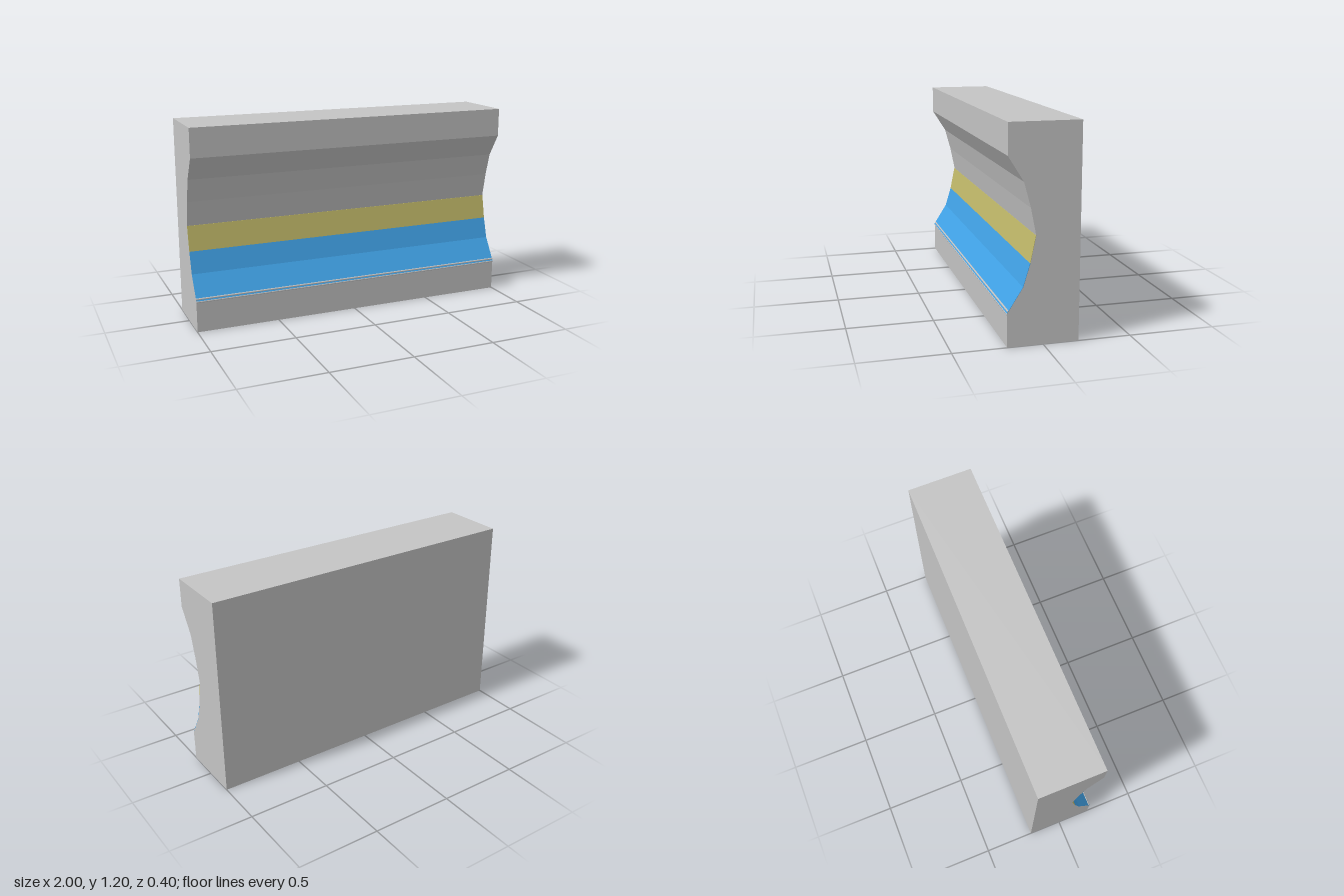
import * as THREE from 'three';

const material = (name, color) => {
  const m = new THREE.MeshStandardMaterial({ color });
  m.name = name;
  return m;
};

// Extrudes a (z, y) profile along the full width of the block
function sweep(name, points, mat) {
  const shape = new THREE.Shape(points.map(([z, y]) => new THREE.Vector2(z, y)));
  const geometry = new THREE.ExtrudeGeometry(shape, { depth: 2, bevelEnabled: false });
  geometry.rotateY(-Math.PI / 2).translate(1, 0, 0);
  const mesh = new THREE.Mesh(geometry, mat);
  mesh.name = name;
  return mesh;
}

export function createModel() {
  const grey = material('light grey', 0xc4c4c4);
  const blue = material('sky blue', 0x40a1e5);
  const sand = material('sand yellow', 0xc0b969);
  const model = new THREE.Group();
  model.name = 'curvedPanel';

  // Faceted hollow in the front, bottom to top
  const hollow = [
    [0.2, 0.19], [0.113, 0.328], [0.075, 0.455], [0.045, 0.603],
    [0.075, 0.752], [0.113, 0.89], [0.2, 1.028],
  ];
  model.add(sweep('body', [[-0.2, 0], [0.2, 0], ...hollow, [0.2, 1.2], [-0.2, 1.2]], grey));

  // Thin coloured bands on the lower facets
  const bands = [['lowerBlueBand', blue], ['upperBlueBand', blue], ['sandBand', sand]];
  bands.forEach(([name, mat], i) => {
    const [a, b] = [hollow[i], hollow[i + 1]];
    const t = 0.002;
    model.add(sweep(name, [a, [a[0] + t, a[1]], [b[0] + t, b[1]], b], mat));
  });

  // Two fine rails along the lower lip
  [[0.197, 0.184], [0.194, 0.2]].forEach(([z, y], i) => {
    const rail = new THREE.Mesh(new THREE.CylinderGeometry(0.006, 0.006, 2, 8), grey);
    rail.name = i ? 'upperRail' : 'lowerRail';
    rail.rotation.z = Math.PI / 2;
    rail.position.set(0, y, z);
    model.add(rail);
  });

  return model;
}
